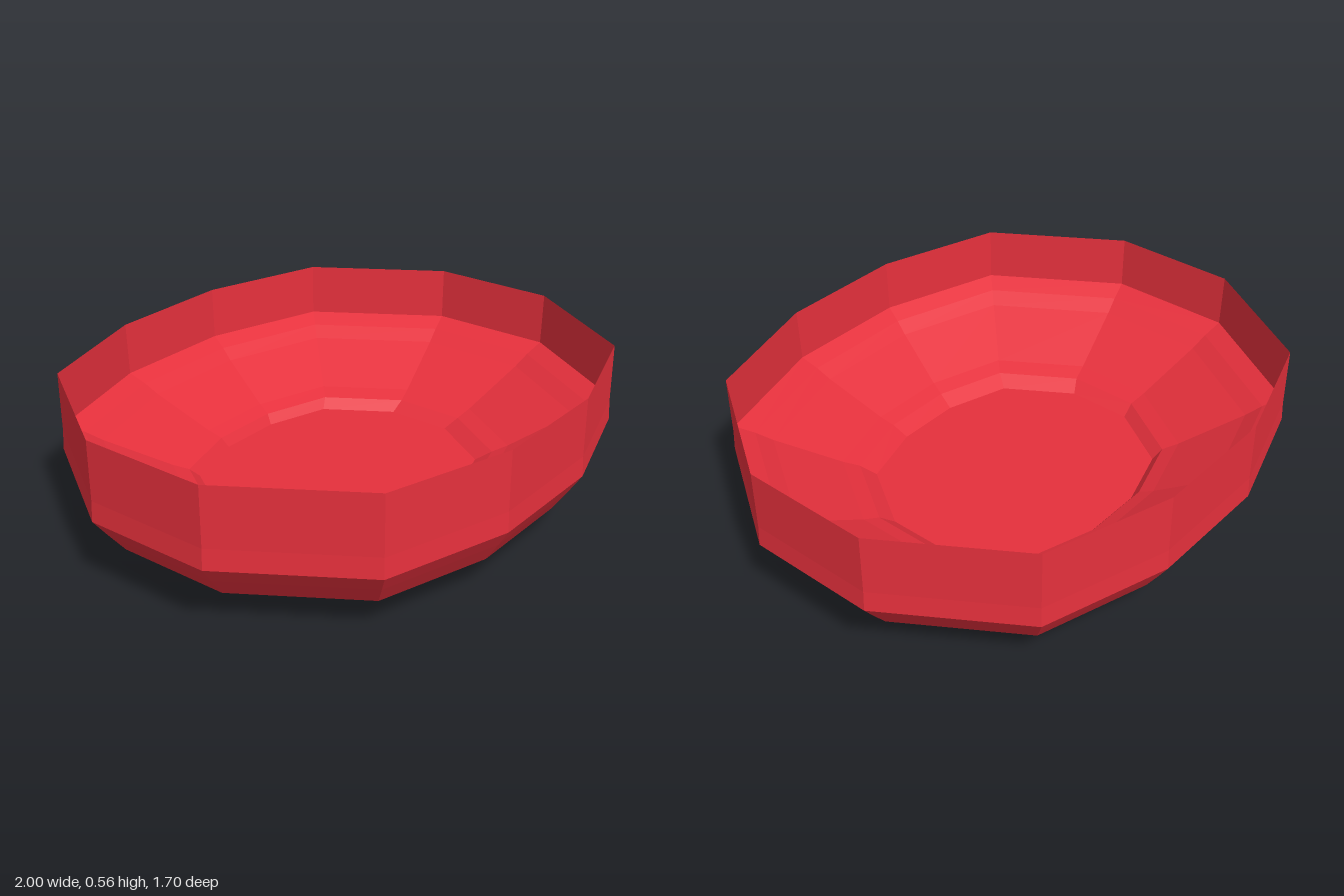
import * as THREE from 'three';

// Twelve-sided plan outline, listed from +x towards +z
const quarter = [[1, 0.24], [0.705, 0.705], [0.24, 0.85]];
const mirrored = [...quarter].reverse();
const outline = [
  ...quarter,
  ...mirrored.map(([x, z]) => [-x, z]),
  ...quarter.map(([x, z]) => [-x, -z]),
  ...mirrored.map(([x, z]) => [x, -z]),
];

// Each ring is [scale of the outline, height, z shift]; a scale of 0 closes the surface
function loft(rings) {
  const n = outline.length;
  const positions = [];
  const index = [];
  for (const [s, y, dz = 0] of rings) {
    for (const [x, z] of outline) positions.push(x * s, y, z * s + dz);
  }
  for (let r = 0; r < rings.length - 1; r++) {
    for (let i = 0; i < n; i++) {
      const a = r * n + i;
      const b = r * n + ((i + 1) % n);
      if (rings[r][0] > 0) index.push(a, a + n, b);
      if (rings[r + 1][0] > 0) index.push(b, a + n, b + n);
    }
  }
  const indexed = new THREE.BufferGeometry();
  indexed.setAttribute('position', new THREE.Float32BufferAttribute(positions, 3));
  indexed.setIndex(index);
  const geometry = indexed.toNonIndexed();
  geometry.computeVertexNormals();
  return geometry;
}

export function createModel() {
  const group = new THREE.Group();
  group.name = 'bowl';
  const red = new THREE.MeshStandardMaterial({ color: 0xe5303c, flatShading: true });

  const add = (name, rings) => {
    const mesh = new THREE.Mesh(loft(rings), red);
    mesh.name = name;
    group.add(mesh);
  };

  // Flat base, chamfered underside and upright wall
  add('outerShell', [
    [0, 0], [0.68, 0], [0.89, 0.12], [0.952, 0.2], [1, 0.265], [0.996, 0.34], [0.996, 0.557],
  ]);

  // Inner wall meeting the outer one at a sharp rim, then sloping sides
  add('innerBasin', [
    [0.996, 0.557], [0.99, 0.36], [0.92, 0.328], [0.86, 0.292], [0.62, 0.177], [0.56, 0.155],
  ]);

  // Small step down to the flat floor
  add('floor', [[0.56, 0.155], [0.512, 0.12, -0.016], [0, 0.12, -0.016]]);

  return group;
}
